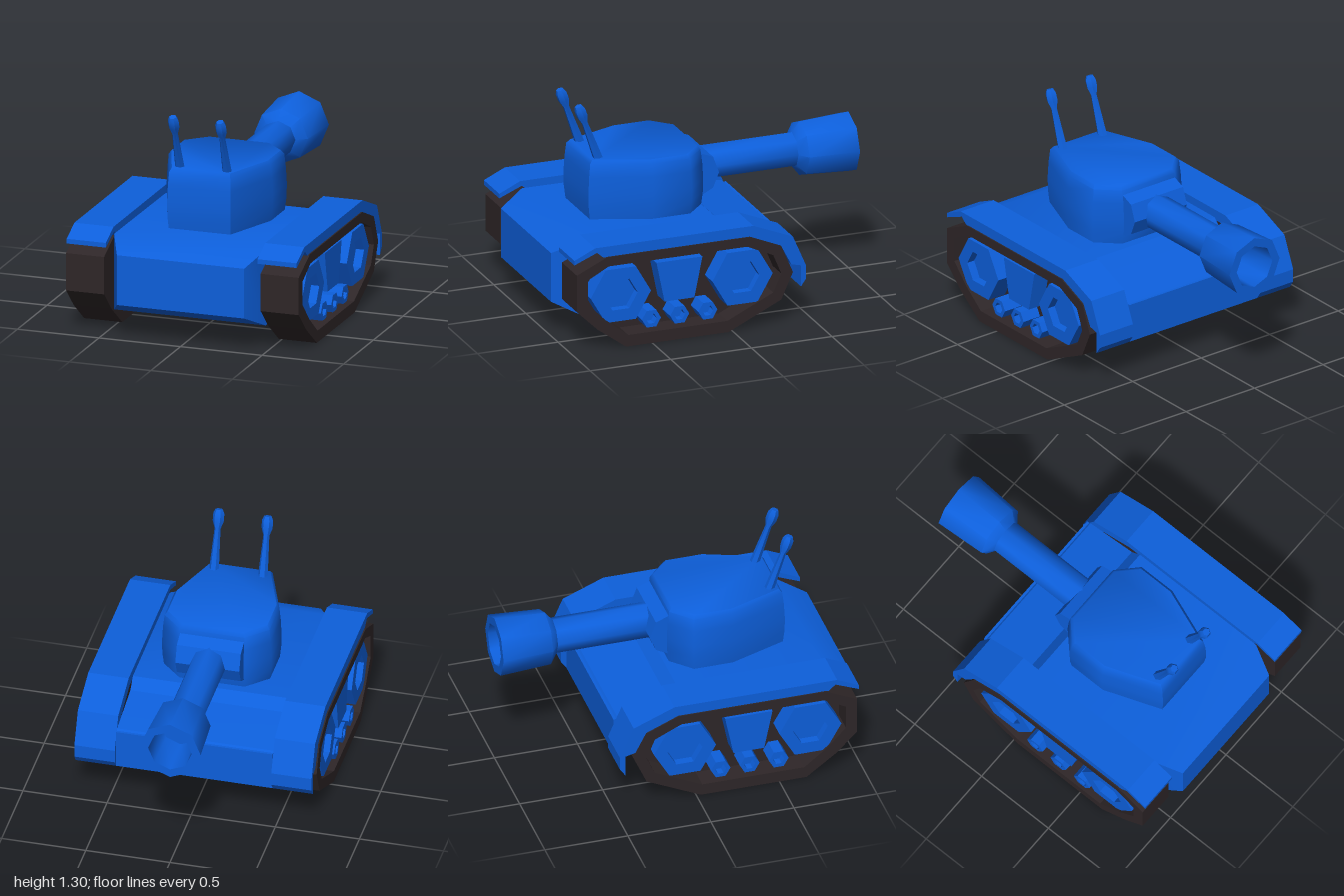
import * as THREE from 'three';
import { toCreasedNormals } from 'three/addons/utils/BufferGeometryUtils.js';

const blue = new THREE.MeshStandardMaterial({ color: 0x0d5fdb });
const dark = new THREE.MeshStandardMaterial({ color: 0x2e2628 });

// Extrudes a [z, y] outline across x, from x0 to x1; the hole runs the opposite way round
function extrudeX(points, x0, x1, hole) {
  const toVec = (p) => p.map(([z, y]) => new THREE.Vector2(-z, y));
  const shape = new THREE.Shape(toVec(points));
  if (hole) shape.holes.push(new THREE.Path(toVec(hole).reverse()));
  const geo = new THREE.ExtrudeGeometry(shape, { depth: Math.abs(x1 - x0), bevelEnabled: false });
  return geo.rotateY(Math.PI / 2).translate(Math.min(x0, x1), 0, 0);
}

// Skins a list of rings (counter-clockwise about the direction of travel) and caps both ends
function loft(rings, crease) {
  const n = rings[0].length;
  const index = [];
  for (let i = 0; i < rings.length - 1; i++) {
    for (let j = 0; j < n; j++) {
      const a = i * n + j, b = i * n + (j + 1) % n;
      index.push(a, b, b + n, a, b + n, a + n);
    }
  }
  const last = (rings.length - 1) * n;
  for (let j = 1; j < n - 1; j++) {
    index.push(0, j + 1, j, last, last + j, last + j + 1);
  }
  const geo = new THREE.BufferGeometry();
  geo.setAttribute('position', new THREE.Float32BufferAttribute(rings.flat(2), 3));
  geo.setIndex(index);
  return toCreasedNormals(geo, crease);
}

// Lathe around +y from [radius, height] pairs
function lathe(profile, sides, crease) {
  const points = profile.map(([r, h]) => new THREE.Vector2(r, h));
  return toCreasedNormals(new THREE.LatheGeometry(points, sides), crease);
}

function hexagon(z, y, r) {
  return Array.from({ length: 6 }, (_, i) => {
    const a = (i * Math.PI) / 3;
    return [z + r * Math.cos(a), y + r * Math.sin(a)];
  });
}

export function createModel() {
  const model = new THREE.Group();
  const add = (name, geo, mat = blue, parent = model) => {
    const mesh = new THREE.Mesh(geo, mat);
    mesh.name = name;
    parent.add(mesh);
    return mesh;
  };

  // Hull: rectangular sections [z, half width, bottom, top]
  const hullSections = [
    [-0.42, 0.465, 0.345, 0.44],
    [-0.4, 0.465, 0.32, 0.46],
    [-0.35, 0.465, 0.25, 0.47],
    [-0.09, 0.465, 0.205, 0.52],
    [-0.03, 0.465, 0.2, 0.58],
    [0.84, 0.465, 0.13, 0.585],
    [1.0, 0.39, 0.21, 0.51],
  ];
  add('hull', loft(hullSections.map(([z, w, b, t]) =>
    [[w, b, z], [w, t, z], [-w, t, z], [-w, b, z]]), 0.5));

  // Thin plate closing the gun end between the fenders
  add('endPlate', extrudeX([[-0.41, 0.45], [-0.425, 0.45], [-0.425, 0.215], [-0.41, 0.22]], -0.465, 0.465));

  // Turret: one plan outline, scaled at each height
  const plan = [[0.195, 0.69], [0.325, 0.34], [0.325, 0.1], [0.2, -0.02]];
  const outline = [...plan, ...plan.map(([x, z]) => [-x, z]).reverse()];
  const levels = [[0.602, 0.97], [0.68, 0.995], [0.76, 1], [0.86, 0.985], [0.94, 0.96], [0.962, 0.91]];
  add('turret', loft(levels.map(([y, s]) =>
    outline.map(([x, z]) => [x * s, y, 0.335 + (z - 0.335) * s])), 0.9));

  // Gun mount
  add('gunMount', extrudeX([[0.03, 0.925], [0, 0.915], [-0.085, 0.88], [-0.122, 0.78],
    [-0.085, 0.69], [0, 0.645], [0.03, 0.64]], -0.19, 0.19));

  // Barrel and hollow muzzle, octagonal, pointing to -z
  const gunPart = (profile) => lathe(profile, 8, 1).rotateX(-Math.PI / 2).translate(0, 0.78, 0);
  add('barrel', gunPart([[0.105, 0.05], [0.105, 0.66]]));
  add('muzzle', gunPart([[0.1, 0.645], [0.165, 0.695], [0.183, 1], [0.13, 1], [0.12, 0.75], [0, 0.75]]));

  // Side parts, mirrored
  const trackOuter = [[0.968, 0.48], [0.78, 0.567], [-0.107, 0.567], [-0.3, 0.485], [-0.372, 0.315],
    [-0.3, 0.155], [0.027, 0], [0.663, 0], [0.84, 0.13], [0.968, 0.255]];
  const trackInner = [[0.9, 0.44], [0.77, 0.51], [-0.09, 0.51], [-0.25, 0.435], [-0.3, 0.315],
    [-0.25, 0.205], [0.035, 0.07], [0.65, 0.07], [0.79, 0.18], [0.9, 0.295]];
  const fenderProfile = [[0.98, 0.57], [0.85, 0.63], [-0.13, 0.63], [-0.375, 0.53], [-0.457, 0.34],
    [-0.457, 0.26], [-0.425, 0.215], [-0.425, 0.345], [-0.365, 0.36], [-0.3, 0.485], [-0.107, 0.565],
    [0.8, 0.565], [0.84, 0.6], [0.98, 0.542]];
  const wheels = [[0.69, 0.32, 0.187], [-0.065, 0.32, 0.187],
    [0.5, 0.145, 0.059], [0.325, 0.145, 0.059], [0.15, 0.145, 0.059]];

  for (const s of [1, -1]) {
    const side = new THREE.Group();
    side.name = s > 0 ? 'leftSide' : 'rightSide';
    model.add(side);
    const slab = (name, pts, x0, x1, mat, hole) => add(name, extrudeX(pts, s * x0, s * x1, hole), mat, side);

    slab('track', trackOuter, 0.48, 0.713, dark, trackInner);
    slab('trackWall', trackInner, 0.48, 0.58, dark);
    slab('fender', fenderProfile, 0.465, 0.705, blue);
    slab('bracket', [[0.465, 0.48], [0.18, 0.48], [0.23, 0.235], [0.415, 0.235]], 0.57, 0.69, blue);

    // Hexagonal wheels with a sunken hub
    for (const [z, y, r] of wheels) {
      slab('wheelRim', hexagon(z, y, r), 0.57, 0.7, blue, hexagon(z, y, r * 0.56));
      slab('wheelHub', hexagon(z, y, r * 0.56), 0.57, 0.65, blue);
    }

    // Antenna: tilted stalk with a knob
    const rod = add('antenna', lathe([[0.03, 0], [0.018, 0.27], [0.033, 0.315], [0.033, 0.36],
      [0.022, 0.385], [0, 0.385]], 6, 0.5).rotateY(Math.PI / 6));
    rod.position.set(s * 0.145, 0.93, 0.602);
    rod.rotation.x = Math.atan2(0.13, 0.36);
  }
  return model;
}
